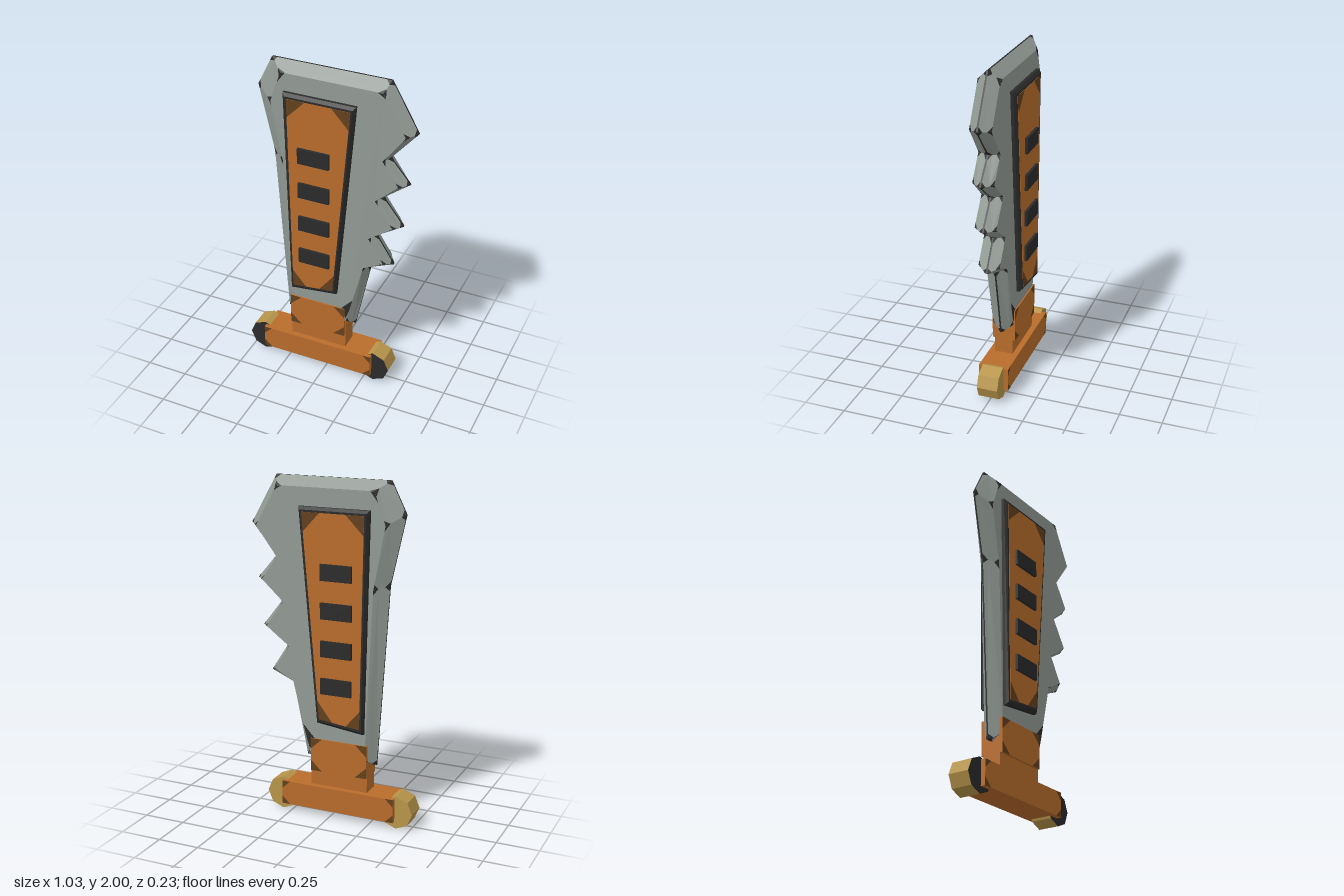
import * as THREE from 'three';

const mat = (name, color) => {
  const m = new THREE.MeshStandardMaterial({ color });
  m.name = name;
  return m;
};

export function createModel() {
  const steel = mat('steel', 0x929a94);
  const orange = mat('orange', 0xb96c2b);
  const brown = mat('worn brown', 0x63401c);
  const dark = mat('dark', 0x2b2b2b);
  const gold = mat('gold', 0xb8954a);

  const model = new THREE.Group();
  model.name = 'sawBladeSword';

  // Collects flat triangles per material and turns them into meshes
  const surface = () => {
    const lists = new Map();
    const tri = (m, ...points) => {
      if (!lists.has(m)) lists.set(m, []);
      lists.get(m).push(...points);
    };
    // Convex face whose corners are cut off and given the wear material
    const face = (points, m, wear, size) => {
      const n = points.length;
      const outline = [];
      points.forEach((p, i) => {
        const toward = (q) => p.clone().lerp(q, Math.min(0.33, size / p.distanceTo(q)));
        const a = toward(points[(i + n - 1) % n]);
        const b = toward(points[(i + 1) % n]);
        tri(wear, a, p, b);
        outline.push(a, b);
      });
      for (let i = 1; i < outline.length - 1; i++) tri(m, outline[0], outline[i], outline[i + 1]);
    };
    const build = (name) => {
      const group = new THREE.Group();
      group.name = name;
      lists.forEach((points, m) => {
        const geo = new THREE.BufferGeometry().setFromPoints(points);
        geo.computeVertexNormals();
        const mesh = new THREE.Mesh(geo, m);
        mesh.name = `${name} ${m.name}`;
        group.add(mesh);
      });
      model.add(group);
    };
    return { tri, face, build };
  };

  // Lofts rings [outline, z] from front to back; outlines run counter-clockwise
  const loft = (name, rings, walls, cap, wear, size) => {
    const s = surface();
    const rows = rings.map(([pts, z]) => pts.map(([x, y]) => new THREE.Vector3(x, y, z)));
    for (let k = 0; k < rows.length - 1; k++) {
      const up = rows[k], low = rows[k + 1];
      up.forEach((p, i) => {
        const j = (i + 1) % up.length;
        const quad = [low[i], low[j], up[j], p];
        if (walls[k].worn) s.face(quad, walls[k].m, dark, 0.03);
        else {
          s.tri(walls[k].m, quad[0], quad[1], quad[2]);
          s.tri(walls[k].m, quad[0], quad[2], quad[3]);
        }
      });
    }
    const front = rows[0], back = rows[rows.length - 1];
    if (wear) {
      s.face(front, cap, wear, size);
      s.face([...back].reverse(), cap, wear, size);
    } else {
      const flat = front.map((p) => new THREE.Vector2(p.x, p.y));
      for (const f of THREE.ShapeUtils.triangulateShape(flat, [])) {
        const ccw = THREE.ShapeUtils.area(f.map((i) => flat[i])) > 0;
        const [a, b, c] = ccw ? f : [f[0], f[2], f[1]];
        s.tri(cap, front[a], front[b], front[c]);
        s.tri(cap, back[a], back[c], back[b]);
      }
    }
    s.build(name);
  };
  const plain = (m) => ({ m });
  const rect = (x0, x1, y0, y1) => [[x0, y0], [x1, y0], [x1, y1], [x0, y1]];

  // Blade: saw-toothed edge on +x, bevelled all round to a thin dark edge
  const edge = [
    [-0.27, 0.35], [0.17, 0.35], [0.26, 0.79], [0.4, 0.85], [0.29, 1.02], [0.45, 1.12], [0.325, 1.28],
    [0.48, 1.4], [0.36, 1.54], [0.515, 1.72], [0.355, 2], [-0.34, 2], [-0.43, 1.82], [-0.34, 1.42],
  ];
  const flat = [
    [-0.215, 0.39], [0.13, 0.39], [0.235, 0.81], [0.355, 0.875], [0.262, 1.02], [0.405, 1.125], [0.297, 1.28],
    [0.43, 1.4], [0.335, 1.54], [0.462, 1.71], [0.33, 1.945], [-0.265, 1.945], [-0.33, 1.76], [-0.262, 1.4],
  ];
  const bevel = { m: steel, worn: true };
  loft('blade', [[flat, 0.0625], [edge, 0.005], [edge, -0.005], [flat, -0.0625]],
    [bevel, plain(dark), bevel], steel);

  // Dark worn patches on the flats of the blade
  const patches = [
    [[0.1, 0.478], [0.13, 0.41], [0.148, 0.465], [0.171, 0.555]],
    [[-0.265, 1.944], [-0.285, 1.885], [-0.24, 1.944]],
    [[0.33, 1.944], [0.3, 1.944], [0.345, 1.915]],
  ];
  patches.forEach((p) => loft('wornPatch', [[p, 0.0635], [p, -0.0635]], [plain(dark)], dark));

  // Tapered panel: dark bevelled rim with an orange inlay on both sides
  const rim = [[-0.215, 0.55], [0.075, 0.585], [0.185, 1.84], [-0.245, 1.84]];
  const rimTop = [[-0.207, 0.568], [0.064, 0.6], [0.171, 1.824], [-0.23, 1.824]];
  const inlay = [[-0.196, 0.583], [0.056, 0.613], [0.16, 1.812], [-0.218, 1.812]];
  loft('panelRim', [[rimTop, 0.095], [rim, 0.08], [rim, -0.08], [rimTop, -0.095]],
    [plain(dark), plain(dark), plain(dark)], dark);
  loft('panelInlay', [[inlay, 0.097], [inlay, -0.097]], [plain(orange)], orange, brown, 0.11);

  // Row of raised studs, through both sides
  for (let i = 0; i < 4; i++) {
    const stud = new THREE.Mesh(new THREE.BoxGeometry(0.19, 0.094, 0.226), dark);
    stud.name = 'stud';
    stud.position.set(-0.055, 0.82 + i * 0.221, 0);
    model.add(stud);
  }

  // Collar clamping the blade, neck below it, and the crossbar
  const collar = rect(-0.23, 0.122, 0.278, 0.478);
  loft('collar', [[collar, 0.07], [collar, -0.07]], [plain(orange)], orange, brown, 0.07);
  const neck = rect(-0.23, 0.125, 0.17, 0.36);
  loft('neck', [[neck, 0.055], [neck, -0.055]], [plain(orange)], orange);
  const bar = rect(-0.407, 0.302, 0.043, 0.187);
  loft('crossbar', [[bar, 0.09], [bar, -0.09]], [plain(orange)], orange, brown, 0.05);

  // Octagonal knobs with dark front faces at the crossbar ends
  for (const x of [-0.415, 0.31]) {
    const geo = new THREE.CylinderGeometry(0.1, 0.1, 0.125, 8).toNonIndexed();
    geo.rotateX(Math.PI / 2);
    geo.computeVertexNormals();
    const knob = new THREE.Mesh(geo, [gold, dark, gold]);
    knob.name = 'knob';
    knob.position.set(x, 0.1, 0);
    model.add(knob);
  }

  return model;
}
